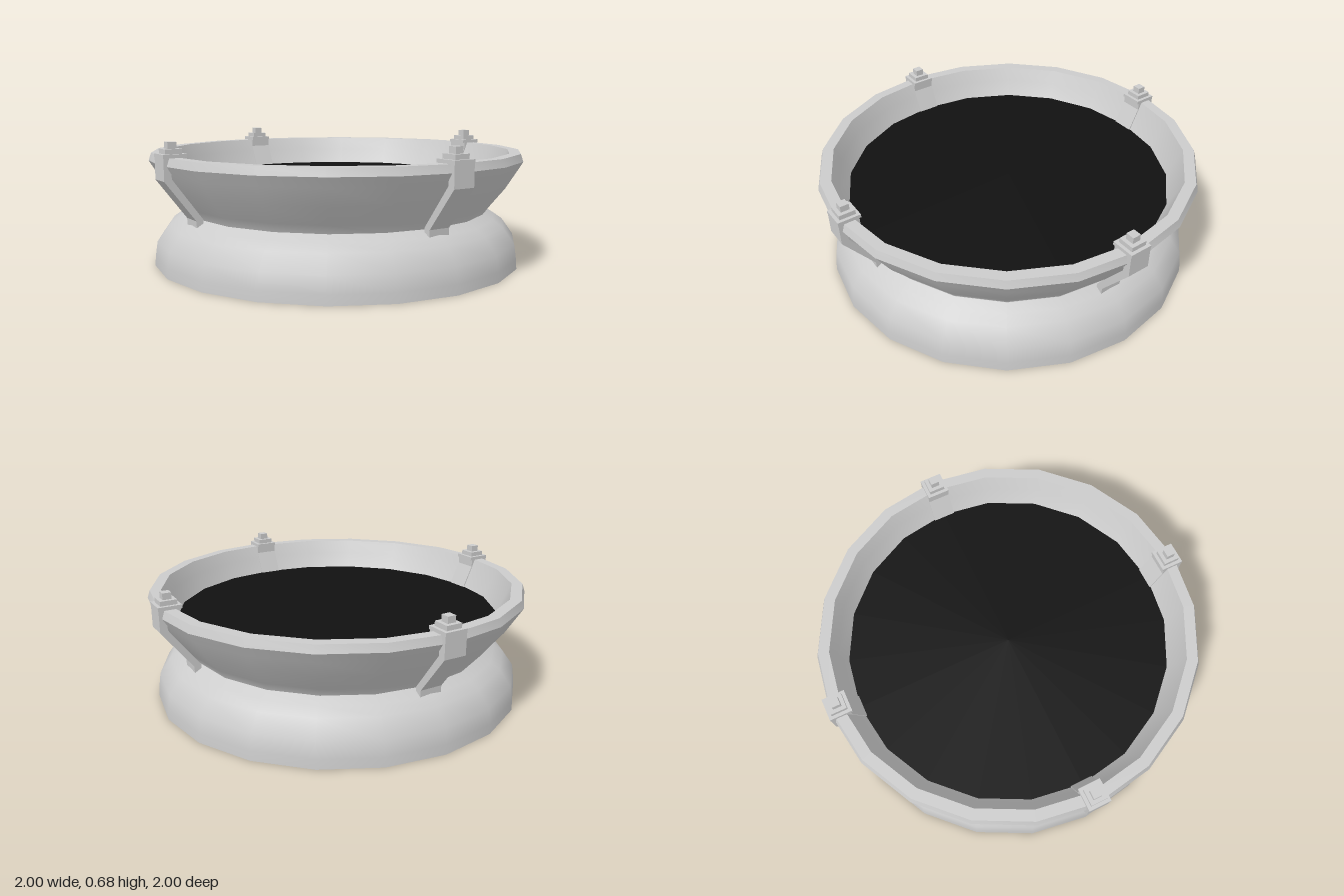
import * as THREE from 'three';
import { toCreasedNormals } from 'three/addons/utils/BufferGeometryUtils.js';

const SIDES = 20;
const FLAT = 1 / Math.cos(Math.PI / SIDES); // apothem to corner radius

const grey = new THREE.MeshStandardMaterial({ color: 0xcccccc });
const black = new THREE.MeshStandardMaterial({ color: 0x111111 });

function mesh(name, geometry, material = grey) {
  const m = new THREE.Mesh(geometry, material);
  m.name = name;
  return m;
}

// Closed ring turned from [radius, height] points, outer side upward first
function ring(name, profile) {
  const points = [...profile, profile[0]].map(([r, y]) => new THREE.Vector2(r * FLAT, y));
  const geometry = new THREE.LatheGeometry(points, SIDES, Math.PI / SIDES);
  return mesh(name, toCreasedNormals(geometry, 0.65));
}

function disc(name, radius, y, height) {
  const geometry = new THREE.CylinderGeometry(
    radius * FLAT, radius * FLAT, height, SIDES, 1, false, Math.PI / SIDES);
  geometry.translate(0, y, 0);
  return mesh(name, toCreasedNormals(geometry, 0.65), black);
}

// Strap of constant width from an outline of [radius, height] points
function strap(name, outline, width) {
  const shape = new THREE.Shape(outline.map(([r, y]) => new THREE.Vector2(r, y)));
  const geometry = new THREE.ExtrudeGeometry(shape, { depth: width, bevelEnabled: false });
  geometry.translate(0, 0, -width / 2);
  return mesh(name, geometry);
}

function block(name, size, height, r, bottom) {
  const geometry = new THREE.BoxGeometry(size, height, size);
  geometry.translate(r, bottom + height / 2, 0);
  return mesh(name, geometry);
}

function createClip() {
  const clip = new THREE.Group();
  clip.name = 'clip';
  // Outer strap: over the rim, down the bowl, hooked under its lower edge
  clip.add(strap('outerStrap', [
    [0.91, 0.605], [1.018, 0.605], [1.018, 0.49], [0.862, 0.285], [0.855, 0.115],
    [0.757, 0.115], [0.757, 0.133], [0.825, 0.133], [0.825, 0.29], [0.98, 0.5],
    [0.98, 0.58], [0.91, 0.58],
  ], 0.12));
  // Inner strap: down the inside of the bowl to the pane
  clip.add(strap('innerStrap', [
    [0.94, 0.605], [0.91, 0.605], [0.91, 0.56], [0.85, 0.43], [0.89, 0.43], [0.94, 0.56],
  ], 0.12));
  // Stepped plate and bolt on top
  clip.add(block('plate', 0.12, 0.018, 0.96, 0.6));
  clip.add(block('washer', 0.085, 0.024, 0.96, 0.618));
  clip.add(block('bolt', 0.045, 0.033, 0.96, 0.642));
  return clip;
}

export function createModel() {
  const model = new THREE.Group();
  model.name = 'clampedRing';

  // Domed base shell, open underneath
  model.add(ring('base', [
    [0.985, 0], [0.982, 0.05], [0.97, 0.13], [0.91, 0.215], [0.86, 0.25], [0.81, 0.28],
    [0.79, 0.27], [0.845, 0.235], [0.89, 0.2], [0.95, 0.125], [0.965, 0.05], [0.97, 0],
  ]));

  // Flared bowl with a flat lip, reaching down inside the base
  model.add(ring('bowl', [
    [0.765, 0.135], [0.8, 0.27], [0.84, 0.325], [0.915, 0.42], [0.97, 0.51], [1.0, 0.56],
    [0.987, 0.6], [0.93, 0.6], [0.9, 0.53], [0.855, 0.43], [0.79, 0.32], [0.755, 0.135],
  ]));

  // Dark panes
  model.add(disc('upperPane', 0.865, 0.43, 0.02));
  model.add(disc('lowerPane', 0.76, 0.145, 0.02));

  // Four clips on the diagonals
  for (let i = 0; i < 4; i++) {
    const clip = createClip();
    clip.rotation.y = Math.PI / 4 + i * Math.PI / 2;
    model.add(clip);
  }
  return model;
}
